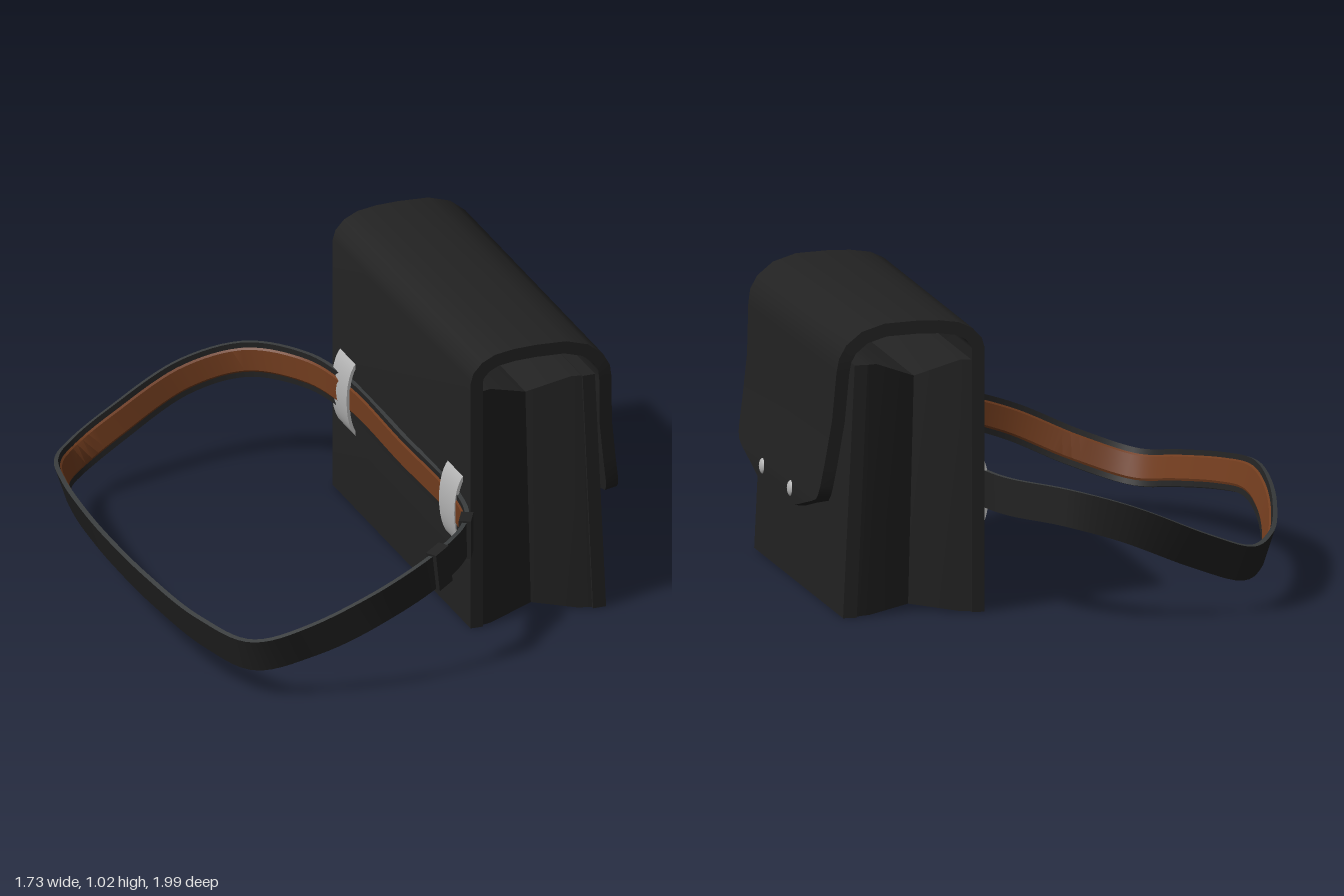
import * as THREE from 'three';
import { toCreasedNormals } from 'three/addons/utils/BufferGeometryUtils.js';

const V = (x, y, z) => new THREE.Vector3(x, y, z);
const MID = -0.035; // the bag sits slightly off centre in z
const HALF = 0.635;

const mat = (name, color) => {
  const m = new THREE.MeshStandardMaterial({ color, side: THREE.DoubleSide });
  m.name = name;
  return m;
};

// Skins a list of point rings; options close the ring, the path, or cap the ends
function loft(rings, { ring = true, path = false, caps = false } = {}) {
  const n = rings[0].length, pos = [];
  const tri = (...p) => p.forEach(v => pos.push(v.x, v.y, v.z));
  for (let i = 0; i < rings.length - (path ? 0 : 1); i++) {
    const a = rings[i], b = rings[(i + 1) % rings.length];
    for (let j = 0; j < (ring ? n : n - 1); j++) {
      const k = (j + 1) % n;
      tri(a[j], b[j], b[k]);
      tri(a[j], b[k], a[k]);
    }
  }
  if (caps) {
    const a = rings[0], b = rings[rings.length - 1];
    for (let j = 1; j < n - 1; j++) {
      tri(a[0], a[j], a[j + 1]);
      tri(b[0], b[j + 1], b[j]);
    }
  }
  const g = new THREE.BufferGeometry();
  g.setAttribute('position', new THREE.Float32BufferAttribute(pos, 3));
  return toCreasedNormals(g, 0.6);
}

export function createModel() {
  const model = new THREE.Group();
  const leather = mat('black leather', 0x222222);
  const edging = mat('strap edge grey', 0x393c3d);
  const brown = mat('brown lining', 0x713c1e);
  const metal = mat('brushed metal', 0xb4b4b4);
  const add = (name, geo, material, parent = model) => {
    const m = new THREE.Mesh(geo, material);
    m.name = name;
    parent.add(m);
    return m;
  };

  // Stations across x: bottom x, bottom y, top x, top y, half width
  const slab = rows => loft(rows.map(([bx, by, tx, ty, h]) => [
    V(bx, by, MID - h), V(bx, by, MID + h), V(tx, ty, MID + h), V(tx, ty, MID - h)]), { caps: true });

  // Pleated gusset body and front panel
  add('gussetBody', slab([
    [0.32, 0.002, 0.32, 0.875, 0.628], [0.36, 0.002, 0.36, 0.875, 0.618],
    [0.53, 0.025, 0.51, 0.815, 0.56],
    [0.68, 0.004, 0.655, 0.873, 0.618], [0.735, 0.002, 0.7, 0.873, 0.628]]), leather);
  add('frontPanel', slab([[0.728, 0, 0.69, 0.875, HALF], [0.776, 0, 0.735, 0.875, HALF]]), leather);

  // Back panel continuing over the top into the flap: outer x, y, half width
  const flapRows = [
    [0.28, 0, HALF], [0.28, 0.915, HALF], [0.29, 0.95, HALF], [0.322, 0.985, HALF],
    [0.37, 1.008, HALF], [0.44, 1.018, HALF], [0.52, 1.02, HALF], [0.63, 1.015, HALF],
    [0.71, 0.99, HALF], [0.765, 0.945, HALF], [0.79, 0.9, HALF], [0.798, 0.85, 0.63],
    [0.808, 0.68, 0.607], [0.829, 0.53, 0.589], [0.842, 0.45, 0.578], [0.847, 0.42, 0.568],
    [0.85, 0.4, 0.548], [0.853, 0.385, 0.5], [0.854, 0.355, 0.38], [0.856, 0.322, 0.25]];
  const flapRings = flapRows.map(([x, y, h], i) => {
    const p = flapRows[Math.max(i - 1, 0)], q = flapRows[Math.min(i + 1, flapRows.length - 1)];
    const dx = q[0] - p[0], dy = q[1] - p[1], l = 0.045 / Math.hypot(dx, dy);
    const ix = x + dy * l, iy = y - dx * l;
    return [V(x, y, MID - h), V(x, y, MID + h), V(ix, iy, MID + h), V(ix, iy, MID - h)];
  });
  add('backPanelAndFlap', loft(flapRings, { caps: true }), leather);

  // Domed snap studs on the flap
  for (const z of [0.17, -0.23]) {
    const stud = add('snapStud', new THREE.SphereGeometry(0.028, 16, 10), metal);
    stud.scale.x = 0.5;
    stud.position.set(0.85, 0.37, z);
  }

  // Arched metal brackets holding the strap to the back
  const arch = new THREE.Shape();
  arch.moveTo(0.285, 0.265);
  arch.bezierCurveTo(0.235, 0.31, 0.235, 0.5, 0.285, 0.545);
  arch.lineTo(0.285, 0.528);
  arch.bezierCurveTo(0.25, 0.48, 0.25, 0.33, 0.285, 0.282);
  arch.closePath();
  for (const z of [-0.53, 0.46]) {
    const g = new THREE.ExtrudeGeometry(arch, { depth: 0.14, bevelEnabled: false, curveSegments: 12 });
    add('strapBracket', toCreasedNormals(g, 0.6), metal).position.z = z - 0.07;
  }

  // Strap centre line, one closed loop
  const curve = new THREE.CatmullRomCurve3([
    [0.268, 0.41, -0.5], [0.27, 0.41, 0], [0.268, 0.41, 0.5], [0.225, 0.405, 0.7],
    [0.05, 0.4, 0.9], [-0.2, 0.325, 0.98], [-0.43, 0.225, 0.945], [-0.62, 0.165, 0.865],
    [-0.73, 0.19, 0.68], [-0.805, 0.235, 0.38], [-0.835, 0.265, 0.1], [-0.817, 0.255, -0.17],
    [-0.765, 0.22, -0.47], [-0.69, 0.18, -0.72], [-0.59, 0.165, -0.86], [-0.41, 0.23, -0.935],
    [-0.14, 0.345, -0.98], [0.06, 0.4, -0.925], [0.21, 0.41, -0.75]].map(p => V(...p)), true);

  // Frame on the strap: tangent, width direction leaning outward at the far end, inward normal
  const frame = t => {
    const P = curve.getPointAt(t), T = curve.getTangentAt(t);
    const N = T.clone().cross(V(0, 1, 0)).normalize();
    const W = N.clone().cross(T);
    const a = 0.32 * THREE.MathUtils.smoothstep(-P.x, -0.1, 0.6);
    W.multiplyScalar(Math.cos(a)).addScaledVector(N, -Math.sin(a));
    return { P, T, W, N: T.clone().cross(W) };
  };
  const STEPS = 160;
  const frames = Array.from({ length: STEPS }, (_, i) => frame(i / STEPS));
  const ribbon = profile => loft(frames.map(f => profile.map(([w, n]) =>
    f.P.clone().addScaledVector(f.W, w).addScaledVector(f.N, n))), { ring: false, path: true });

  const strap = new THREE.Group();
  strap.name = 'shoulderStrap';
  model.add(strap);
  const w = 0.064, n = 0.008;
  add('strapOuterFace', ribbon([[-w, -n], [w, -n]]), leather, strap);
  add('strapInnerFace', ribbon([[w, n], [-w, n]]), leather, strap);
  add('strapTopEdge', ribbon([[w, -n], [w, n]]), edging, strap);
  add('strapBottomEdge', ribbon([[-w, n], [-w, -n]]), edging, strap);
  add('strapLining', ribbon([[0.045, n], [0.038, n + 0.005], [-0.038, n + 0.005], [-0.045, n]]), brown, strap);

  // Leather keepers around the strap
  for (const target of [V(0.225, 0.405, 0.7), V(0.055, 0.4, 0.9)]) {
    const f = frames.reduce((a, b) => (b.P.distanceTo(target) < a.P.distanceTo(target) ? b : a));
    const keeper = add('strapKeeper', new THREE.BoxGeometry(0.075, 0.142, 0.042), leather, strap);
    keeper.quaternion.setFromRotationMatrix(new THREE.Matrix4().makeBasis(f.T, f.W, f.N));
    keeper.position.copy(f.P);
  }

  return model;
}
